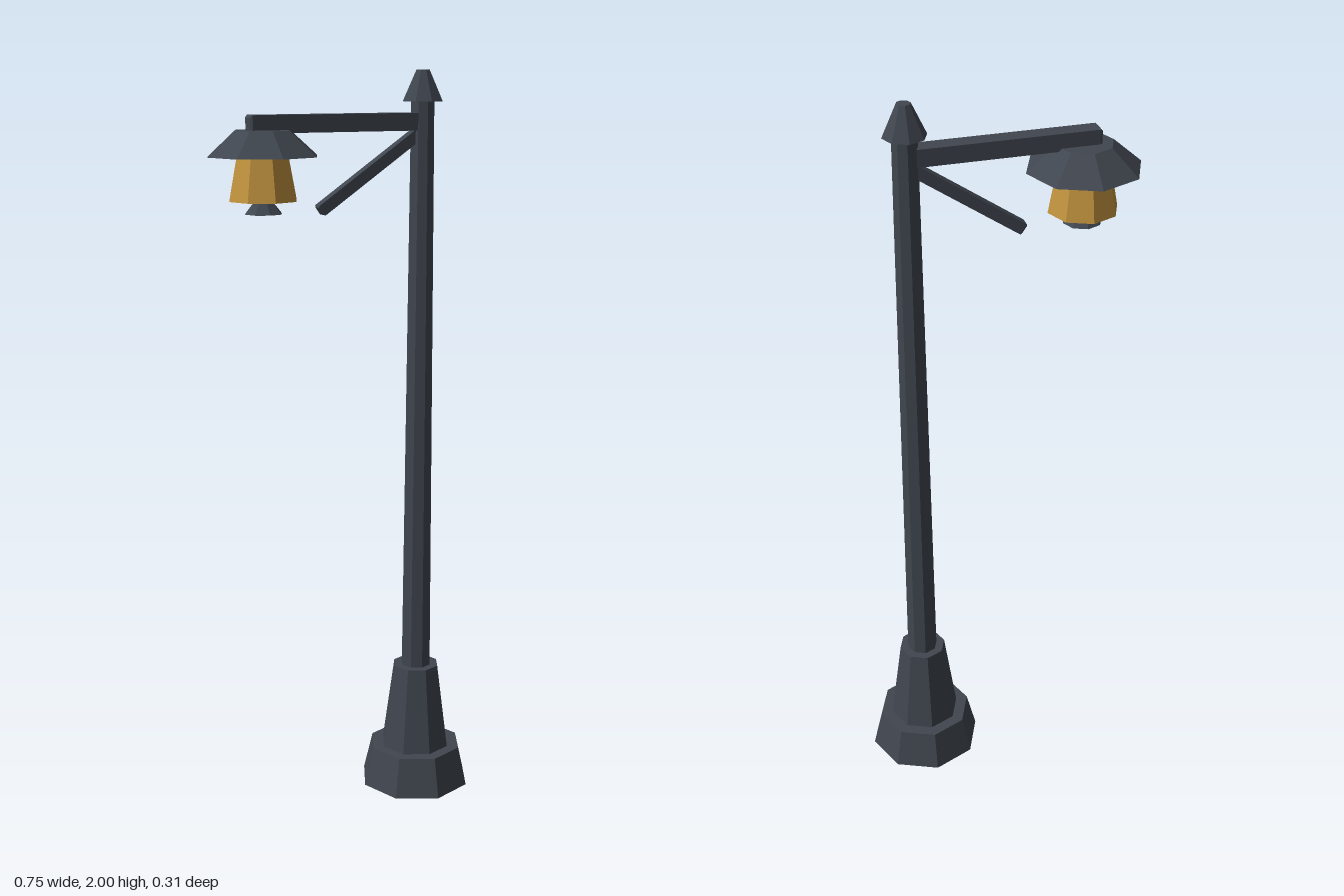
import * as THREE from 'three';

export function createModel() {
  const lamp = new THREE.Group();
  lamp.name = 'streetLamp';

  const iron = new THREE.MeshStandardMaterial({ color: 0x40464f, flatShading: true });
  iron.name = 'dark iron';
  const glass = new THREE.MeshStandardMaterial({ color: 0xc2943f, flatShading: true });
  glass.name = 'amber glass';

  const postX = 0.217;
  const lanternX = -0.228;

  // Upright eight-sided frustum between two heights
  function frustum(name, x, y0, y1, r0, r1, material = iron) {
    const mesh = new THREE.Mesh(new THREE.CylinderGeometry(r1, r0, y1 - y0, 8), material);
    mesh.name = name;
    mesh.position.set(x, (y0 + y1) / 2, 0);
    lamp.add(mesh);
  }

  // Square bar with chamfered edges, running between two points in the z = 0 plane
  function bar(name, x0, y0, x1, y1, size, bevel) {
    const h = size / 2 - bevel;
    const section = new THREE.Shape([
      new THREE.Vector2(-h, -h), new THREE.Vector2(h, -h),
      new THREE.Vector2(h, h), new THREE.Vector2(-h, h),
    ]);
    const length = Math.hypot(x1 - x0, y1 - y0);
    const geometry = new THREE.ExtrudeGeometry(section, {
      depth: length - 2 * bevel, bevelEnabled: true, bevelSegments: 1,
      bevelSize: bevel, bevelThickness: bevel,
    });
    geometry.translate(0, 0, bevel);
    geometry.rotateY(Math.PI / 2);
    const mesh = new THREE.Mesh(geometry, iron);
    mesh.name = name;
    mesh.position.set(x0, y0, 0);
    mesh.rotation.z = Math.atan2(y1 - y0, x1 - x0);
    lamp.add(mesh);
  }

  // Post, from the ground up
  frustum('baseFoot', postX, 0, 0.11, 0.157, 0.131);
  frustum('basePlinth', postX, 0.11, 0.353, 0.098, 0.065);
  frustum('post', postX, 0.353, 1.92, 0.042, 0.032);
  frustum('postCap', postX, 1.92, 2, 0.055, 0.018);

  // Arm and diagonal brace
  bar('arm', -0.267, 1.869, postX, 1.869, 0.045, 0.006);
  bar('brace', -0.075, 1.647, postX, 1.848, 0.03, 0.004);

  // Hanging lantern
  frustum('lanternShade', lanternX, 1.79, 1.854, 0.148, 0.074);
  frustum('lanternGlass', lanternX, 1.679, 1.792, 0.091, 0.069, glass);
  frustum('lanternFinial', lanternX, 1.646, 1.68, 0.05, 0.022);

  return lamp;
}
